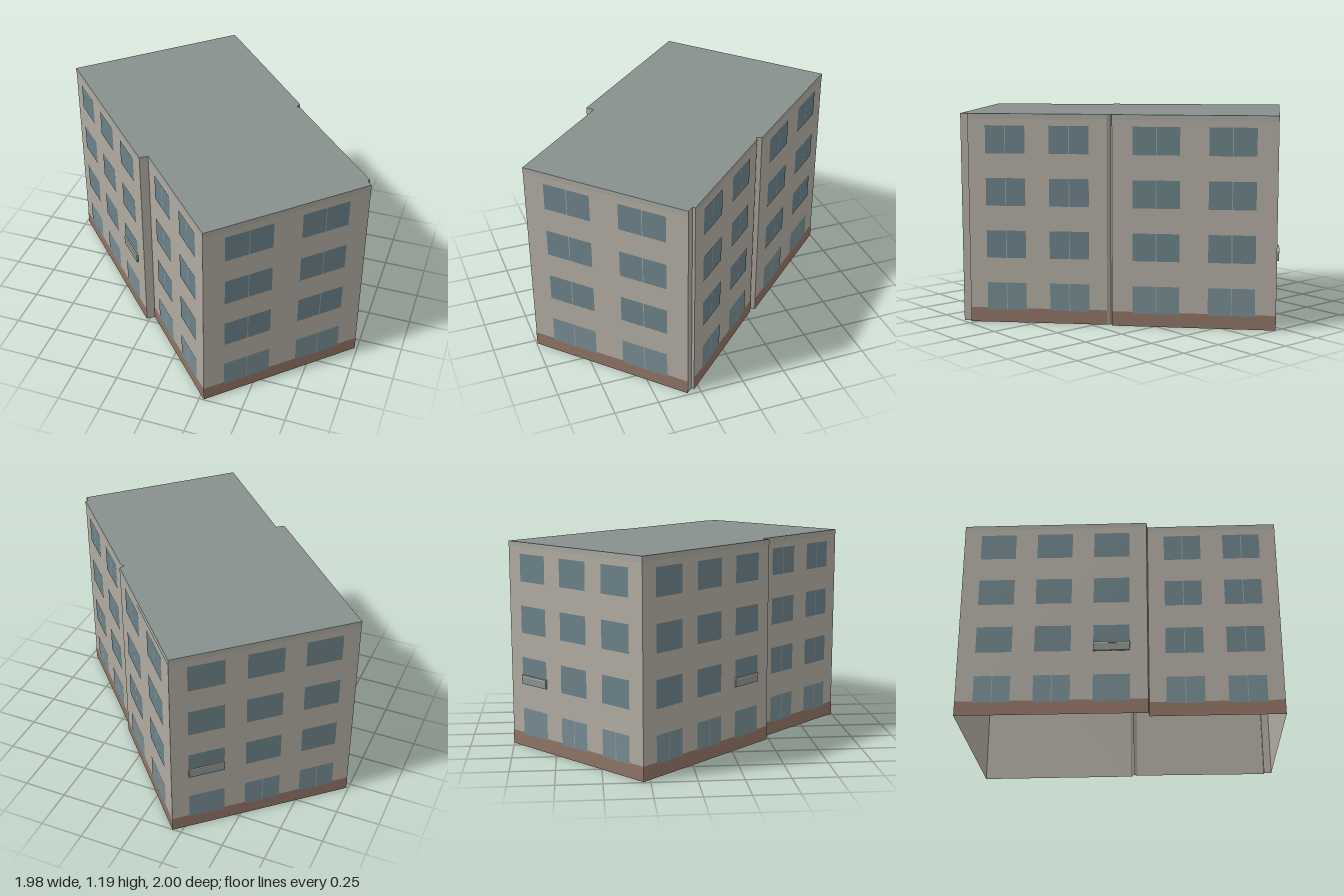
import * as THREE from 'three';

const H = 1.19;
const mat = (color, side = THREE.FrontSide) =>
  new THREE.MeshStandardMaterial({ color, side, roughness: 0.9 });

const M = {
  wall: mat(0xb0aba1, THREE.DoubleSide),
  roof: mat(0x88908d, THREE.DoubleSide),
  brick: mat(0x8f7364),
  cornice: mat(0xa6a69f),
  glass: mat(0x6b8188),
  paleGlass: mat(0x758b92),
  mullion: mat(0x91a3a7),
  box: mat(0x89938f),
  ledge: mat(0xb0aba1),
};

// Footprint corners [x, z], anticlockwise from above. Each entry describes the
// wall running to the next corner: cols = window columns, planter = its column.
const C3 = [0.19, 0.5, 0.81], C2 = [0.27, 0.73];
const FOOTPRINT = [
  { p: [-0.988, -0.287], cols: C3, w: 0.192, planter: 2 },
  { p: [-0.266, 0.484] },
  { p: [-0.226, 0.453], cols: C2, w: 0.286 },
  { p: [0.276, 0.995], cols: C2, w: 0.286 },
  { p: [0.985, 0.324] },
  { p: [0.956, 0.291] },
  { p: [0.967, 0.28], cols: C2, w: 0.286 },
  { p: [0.43, -0.29] },
  { p: [0.406, -0.296] },
  { p: [0.42, -0.325], cols: C2, w: 0.286 },
  { p: [-0.198, -1.0], cols: C3, w: 0.194, planter: 0 },
];
const ROWS = [0.152, 0.452, 0.75, 1.046]; // window centre heights
const WIN_H = 0.157;

// Flat panel in wall space: x along the wall, z outward
function panel(parent, name, material, w, h, x, y, z) {
  const m = new THREE.Mesh(new THREE.PlaneGeometry(w, h), material);
  m.name = name;
  m.position.set(x, y, z);
  parent.add(m);
}

function addWindow(wall, x, y, w, row, divided) {
  const g = new THREE.Group();
  g.name = 'window';
  g.position.set(x, y, 0);
  panel(g, 'windowPane', row < 1 ? M.paleGlass : M.glass, w, WIN_H, 0, 0, 0.003);
  if (divided) panel(g, 'mullion', M.mullion, 0.005, WIN_H, 0, 0, 0.004);
  wall.add(g);
}

// Shallow box with a pale rim in front of the lower part of a window
function addPlanter(wall, x, y, w) {
  const add = (name, material, h, d, cy) => {
    const m = new THREE.Mesh(new THREE.BoxGeometry(w, h, d), material);
    m.name = name;
    m.position.set(x, cy, d / 2);
    wall.add(m);
  };
  add('windowBox', M.box, 0.042, 0.01, y - 0.057);
  add('windowBoxRim', M.ledge, 0.01, 0.012, y - 0.031);
}

function makeWall(a, b, spec) {
  const dx = b[0] - a[0], dz = b[1] - a[1], len = Math.hypot(dx, dz);
  const wall = new THREE.Group();
  wall.position.set(a[0], 0, a[1]);
  wall.rotation.y = Math.atan2(-dz, dx);
  wall.name = spec.cols ? 'facade' : 'cornerReturn';
  panel(wall, 'wallPanel', M.wall, len, H, len / 2, H / 2, 0);
  if (!spec.cols) return wall;

  panel(wall, 'brickPlinth', M.brick, len, 0.083, len / 2, 0.0415, 0.0015);
  panel(wall, 'cornice', M.cornice, len, 0.03, len / 2, H - 0.015, 0.0015);
  ROWS.forEach((y, row) => spec.cols.forEach((c, col) => {
    const three = spec.cols.length === 3;
    const divided = !three || (row === 0 && col !== spec.planter);
    addWindow(wall, c * len, y, spec.w * len, row, divided);
    if (three && row === 1 && col === spec.planter) addPlanter(wall, c * len, y, spec.w * len);
  }));
  return wall;
}

export function createModel() {
  const building = new THREE.Group();
  building.name = 'apartmentBuilding';

  // Walls around the footprint, open underneath
  FOOTPRINT.forEach((spec, i) => {
    const next = FOOTPRINT[(i + 1) % FOOTPRINT.length];
    building.add(makeWall(spec.p, next.p, spec));
  });

  // Flat roof
  const outline = new THREE.Shape(FOOTPRINT.map(({ p }) => new THREE.Vector2(p[0], -p[1])));
  const roof = new THREE.Mesh(new THREE.ShapeGeometry(outline), M.roof);
  roof.name = 'roof';
  roof.rotation.x = -Math.PI / 2;
  roof.position.y = H;
  building.add(roof);

  return building;
}
